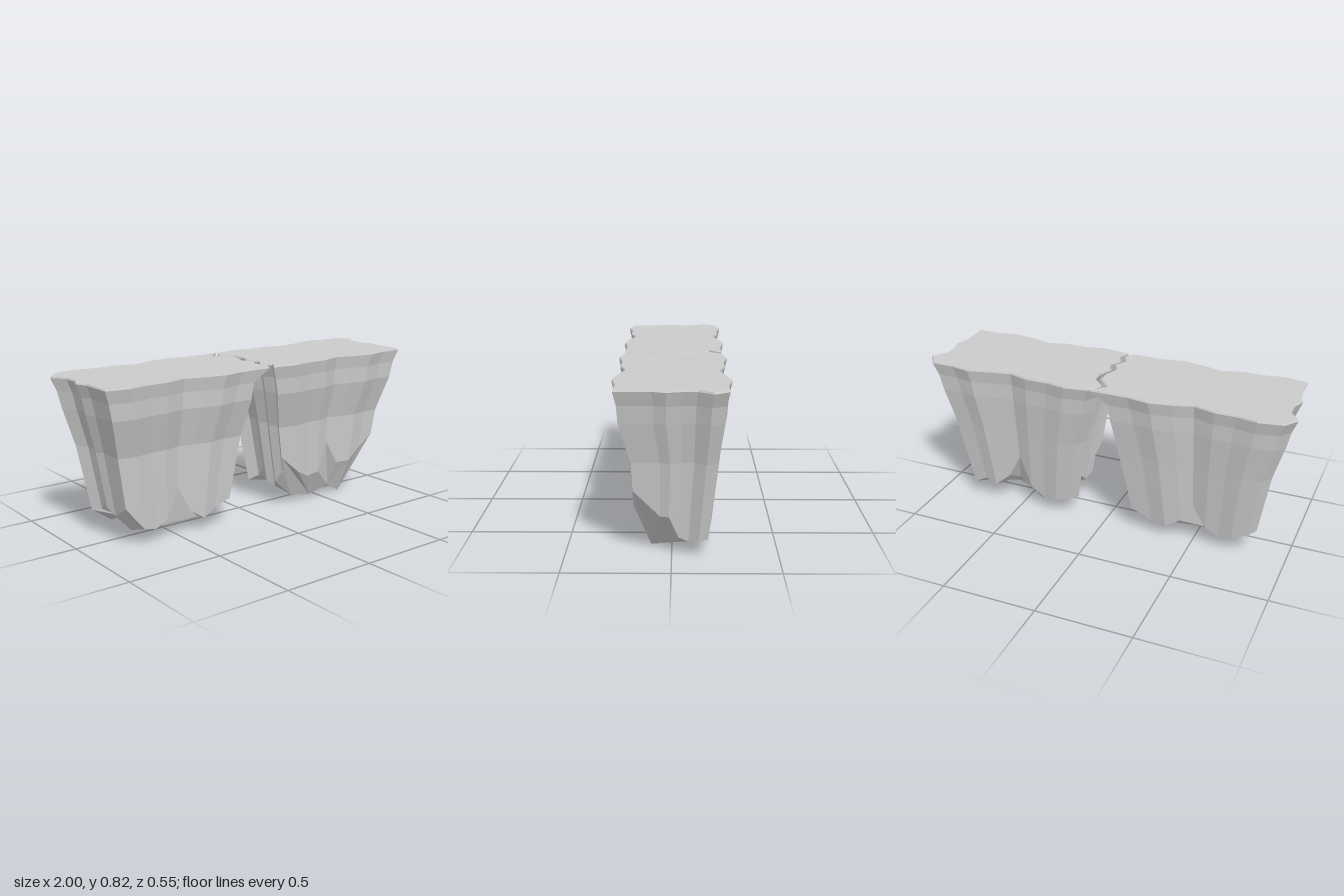
import * as THREE from 'three';

// Outlines run clockwise seen from above: [x, z, height of the ragged lower hem].
const RIGHT = [
  [0.03, 0.25, 0.3], [0.06, 0.2, 0.2], [0.03, 0.14, 0.14], [0.065, 0.08, 0.1], [0.035, 0.02, 0.13],
  [0.065, -0.05, 0.18], [0.065, -0.12, 0.13], [0, -0.19, 0.1], [0.05, -0.26, 0.1],
  [0.17, -0.28, 0.08], [0.28, -0.26, 0.07], [0.4, -0.26, 0.13], [0.5, -0.23, 0.3], [0.6, -0.25, 0.17],
  [0.73, -0.28, 0.1], [0.83, -0.26, 0.12], [0.95, -0.26, 0.08],
  [1, -0.19, 0.08], [0.95, -0.12, 0.07], [0.95, -0.05, 0.09], [0.97, 0.02, 0.2], [0.95, 0.08, 0.2], [0.95, 0.25, 0.33],
  [0.83, 0.25, 0.26], [0.72, 0.27, 0.2], [0.6, 0.25, 0.2], [0.5, 0.22, 0.33], [0.4, 0.25, 0.17],
  [0.28, 0.25, 0.16], [0.17, 0.27, 0.2],
];
const LEFT = [
  [-1, -0.19, 0.13], [-0.95, -0.26, 0.12], [-0.83, -0.28, 0.09], [-0.72, -0.26, 0.07], [-0.61, -0.26, 0.11],
  [-0.5, -0.23, 0.22], [-0.4, -0.26, 0.12], [-0.28, -0.28, 0.07], [-0.16, -0.26, 0.08], [0.04, -0.26, 0.13],
  [-0.035, -0.195, 0.14], [0.04, -0.12, 0.13], [0.04, -0.05, 0.18], [0.01, 0.02, 0.2], [0.04, 0.08, 0.15],
  [0.005, 0.14, 0.13], [0.035, 0.2, 0.13], [0.005, 0.25, 0.14],
  [-0.17, 0.25, 0.11], [-0.28, 0.27, 0.07], [-0.4, 0.25, 0.12], [-0.5, 0.22, 0.25], [-0.61, 0.25, 0.11],
  [-0.72, 0.25, 0.07], [-0.83, 0.27, 0.09], [-0.95, 0.25, 0.21],
  [-0.95, 0.08, 0.14], [-0.975, 0.02, 0.18], [-0.95, -0.04, 0.2], [-0.95, -0.12, 0.14],
];

// Peaks hanging below the hem, one for every three hem points: [x, y, z]
const RIGHT_PEAKS = [
  [0.3, 0.04, 0.09], [0.28, 0.1, 0], [0.32, 0.08, -0.09], [0.43, 0.01, -0.075], [0.55, 0.12, -0.09],
  [0.72, 0.07, -0.1], [0.7, 0.03, -0.03], [0.65, 0, 0.1], [0.57, 0.05, 0.1], [0.43, 0.02, 0.1],
];
const LEFT_PEAKS = [
  [-0.74, 0.065, -0.1], [-0.58, 0.08, -0.12], [-0.36, 0.065, -0.12], [-0.27, 0.1, -0.08], [-0.25, 0.13, 0.02],
  [-0.285, 0.07, 0.1], [-0.36, 0.065, 0.12], [-0.64, 0.065, 0.12], [-0.74, 0.065, 0.09], [-0.75, 0.12, 0],
];

// Horizontal rings: [y, x scale, z scale, z shift, share of the crack draw-back]
const RINGS = [
  [0.825, 0.99, 0.985, 0.004, 0],
  [0.817, 1, 1, 0.004, 0],
  [0.75, 0.945, 0.945, 0.004, 1],
  [0.665, 0.905, 0.925, 0.004, 0.85],
  [0.47, 0.79, 0.775, -0.01, 0.45],
];

// draw: how far the crack side pulls back under its lip; hollow: height of the dip around the centre peak
function buildRock(name, outline, peaks, cx, draw, centreY, hollow) {
  const n = outline.length;
  const isCrack = (x) => Math.abs(x) < 0.1;
  const place = (p, [y, sx, sz, dz, share]) => new THREE.Vector3(
    cx + (p[0] - cx) * sx + (isCrack(p[0]) ? draw * share : 0), y, p[1] * sz + dz);

  const loops = RINGS.map((ring) => outline.map((p) => place(p, ring)));

  // Ragged hem: the walls keep tapering down to each point's own height
  loops.push(outline.map((p) => {
    const t = (0.47 - p[2]) / 0.37;
    return place(p, [p[2], 0.79 - 0.13 * t, 0.775 - 0.11 * t, -0.01 + 0.01 * t, 0.45]);
  }));

  // Underside: a ring of peaks, then a hollow around the centre peak
  const peakRing = outline.map((_, i) => new THREE.Vector3(...peaks[Math.floor(i / 3)]));
  const hollowRing = peakRing.map((v) => new THREE.Vector3(cx + (v.x - cx) * 0.5, hollow, v.z * 0.5));
  loops.push(peakRing, hollowRing);

  const pos = [];
  const tri = (a, b, c) => {
    if (a.equals(b) || b.equals(c) || c.equals(a)) return;
    pos.push(...a.toArray(), ...b.toArray(), ...c.toArray());
  };
  for (let r = 0; r < loops.length - 1; r++) {
    for (let i = 0; i < n; i++) {
      const j = (i + 1) % n;
      const a = loops[r], b = loops[r + 1];
      tri(a[i], a[j], b[i]);
      tri(a[j], b[j], b[i]);
    }
  }
  const centre = new THREE.Vector3(cx, centreY, 0.01);
  for (let i = 0; i < n; i++) tri(hollowRing[i], hollowRing[(i + 1) % n], centre);

  // Flat top
  const top = loops[0];
  const flat = top.map((v) => new THREE.Vector2(v.x, v.z));
  for (const [a, b, c] of THREE.ShapeUtils.triangulateShape(flat, [])) {
    const turn = flat[b].clone().sub(flat[a]).cross(flat[c].clone().sub(flat[a]));
    if (turn < 0) tri(top[a], top[b], top[c]);
    else tri(top[a], top[c], top[b]);
  }

  const geometry = new THREE.BufferGeometry();
  geometry.setAttribute('position', new THREE.Float32BufferAttribute(pos, 3));
  geometry.computeVertexNormals();
  const mesh = new THREE.Mesh(geometry, new THREE.MeshStandardMaterial({ color: 0xcccccc, flatShading: true }));
  mesh.name = name;
  return mesh;
}

export function createModel() {
  const group = new THREE.Group();
  group.name = 'crackedRockBridge';
  group.add(buildRock('leftRock', LEFT, LEFT_PEAKS, -0.5, -0.065, 0.065, 0.13));
  group.add(buildRock('rightRock', RIGHT, RIGHT_PEAKS, 0.5, 0, 0, 0.08));
  return group;
}
